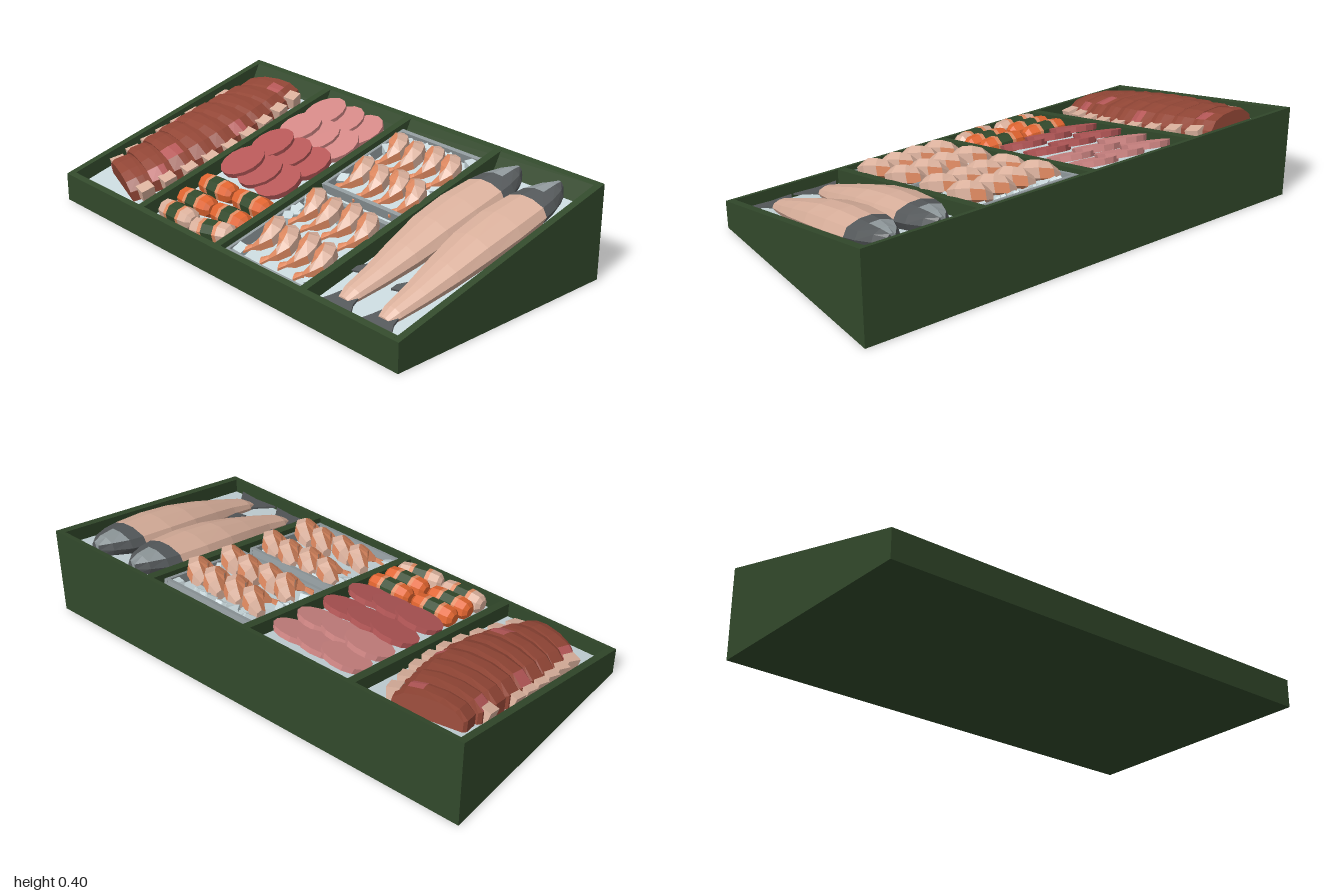
import * as THREE from 'three';

const mat = (name, color, double) => {
  const m = new THREE.MeshStandardMaterial({ color });
  m.name = name;
  if (double) m.side = THREE.DoubleSide;
  return m;
};
const V = (x, y, z) => new THREE.Vector3(x, y, z);

// Flat-shaded skin over a row of closed rings; pick(i, j) gives the material index of a quad
function loft(rings, pick = () => 0) {
  const sets = [], n = rings[0].length, last = rings.length - 1;
  let volume = 0;
  const tri = (k, a, b, c) => {
    (sets[k] ??= []).push([a, b, c]);
    volume += a.dot(b.clone().cross(c));
  };
  for (let i = 0; i < last; i++) for (let j = 0; j < n; j++) {
    const a = rings[i][j], b = rings[i][(j + 1) % n], c = rings[i + 1][(j + 1) % n], d = rings[i + 1][j];
    tri(pick(i, j), a, b, c);
    tri(pick(i, j), a, c, d);
  }
  for (let j = 1; j < n - 1; j++) {
    tri(pick(0, j), rings[0][0], rings[0][j + 1], rings[0][j]);
    tri(pick(last - 1, j), rings[last][0], rings[last][j], rings[last][j + 1]);
  }
  const pos = [], g = new THREE.BufferGeometry();
  sets.forEach((tris, k) => {
    g.addGroup(pos.length / 3, tris.length * 3, k);
    for (const [a, b, c] of tris) for (const p of volume > 0 ? [a, b, c] : [a, c, b]) pos.push(p.x, p.y, p.z);
  });
  g.setAttribute('position', new THREE.Float32BufferAttribute(pos, 3));
  g.computeVertexNormals();
  return g;
}

// Elliptical ring around c, spanned by the direction side and the up axis
const ring = (c, side, ru, rv, n) => Array.from({ length: n }, (_, j) => {
  const a = ((j + 0.5) / n) * Math.PI * 2;
  return c.clone().addScaledVector(side, Math.cos(a) * ru).add(V(0, Math.sin(a) * rv, 0));
});

export function createModel() {
  const green = mat('dark green', 0x32492b), ice = mat('ice', 0xc8d7db);
  const rib = mat('roast brown', 0x924636), flesh = mat('pale flesh', 0xdab09c);
  const hamPale = mat('pale pink', 0xd38886), hamRed = mat('deep pink', 0xb65858);
  const orange = mat('bright orange', 0xe0642f), prawn = mat('prawn orange', 0xe08a61);
  const grey = mat('grey', 0x90999c), dark = mat('charcoal', 0x55595b, true);

  const model = new THREE.Group();
  model.name = 'foodDisplay';
  let seed = 7;
  const rand = () => ((seed = (seed * 16807) % 2147483647) / 2147483647);

  // Wedge crate: side profile (z, y) pulled along x
  const slab = (name, pts, x0, x1) => {
    const shape = new THREE.Shape(pts.map(p => new THREE.Vector2(...p)));
    const g = new THREE.ExtrudeGeometry(shape, { depth: x1 - x0, bevelEnabled: false });
    const m = new THREE.Mesh(g.rotateY(-Math.PI / 2).translate(x1, 0, 0), green);
    m.name = name;
    model.add(m);
  };
  slab('crateBody', [[0.535, 0], [0.535, 0.12], [0.51, 0.127], [0.51, 0.055], [-0.47, 0.31],
    [-0.51, 0.388], [-0.535, 0.395], [-0.535, 0]], -0.97, 0.97);
  const wedge = [[0.535, 0], [0.535, 0.12], [-0.535, 0.395], [-0.535, 0]];
  for (const x of [-1, 0.97]) slab('sideWall', wedge, x, x + 0.03);
  const rail = [[0.515, 0.04], [0.515, 0.1251], [-0.515, 0.3899], [-0.515, 0.3]];
  for (const x of [-0.515, -0.02, 0.475]) slab('divider', rail, x, x + 0.035);

  // Everything in the crate sits on the sloping floor
  const food = new THREE.Group();
  food.name = 'contents';
  food.position.y = 0.19;
  food.rotation.x = 0.2546;
  model.add(food);
  const put = (name, geo, material, x, z, h, ry = 0, rx = 0, rz = 0) => {
    const m = new THREE.Mesh(geo, material);
    m.name = name;
    m.position.set(x, h, (z - h * 0.252) / 0.968);
    m.rotation.set(rx, ry, rz, 'YXZ');
    food.add(m);
    return m;
  };
  const box = (x, y, z) => new THREE.BoxGeometry(x, y, z);

  // Ice beds
  for (const [a, b] of [[-0.97, -0.515], [-0.48, -0.02], [0.015, 0.475], [0.51, 0.97]])
    put('iceBed', box(b - a, 0.009, 1.006), ice, (a + b) / 2, 0.02, 0.001);

  // Rack of ribs: fanned, arched slices with short bone ends
  const arch = [[-1, 0], [-0.97, 0.5], [-0.7, 0.84], [-0.25, 1], [0.3, 1], [0.7, 0.86], [0.97, 0.5], [1, 0]];
  const slices = 9;
  for (let i = 0; i < slices; i++) {
    const t = i / (slices - 1), bow = Math.sin(Math.PI * t);
    const w = 0.135 + 0.05 * Math.sin(Math.PI * (0.1 + t * 0.8));
    const x = -0.764 + 0.022 * bow, z = -0.385 + 0.74 * t, yaw = 0.18 - 0.42 * t;
    const h = 0.08 + 0.032 * Math.sin(Math.PI * (0.1 + 0.75 * t));
    const rings = [[-0.06, 0.93], [-0.025, 1], [0.02, 1.02], [0.052, 0.95]]
      .map(([dz, s], k) => arch.map(([u, v]) => V(u * w * s, v * h * s, dz + (k % 2 ? 0.012 : -0.008) * u)));
    const pinkSide = [4, 1, -1, 5, 1, -1, 4, 5, 1][i];
    put('ribSlice', loft(rings, (k, j) => (j === pinkSide && k > 0 ? 1 : 0)), [rib, hamRed], x, z, 0.004, yaw);
    for (const s of [-1, 1]) {
      if (s < 0 && (i === 0 || i === 2)) continue;
      const reach = w + (s < 0 ? -0.004 : 0.002);
      put('ribBone', box(0.052, 0.05, 0.06), flesh, x + s * reach * Math.cos(yaw), z - s * reach * Math.sin(yaw) + 0.01,
        0.036, yaw + s * 0.1, 0, -s * 0.2);
    }
  }

  // Ham: four rows of overlapping rounds, left ones on top
  const round = new THREE.CylinderGeometry(0.105, 0.1, 0.024, 14).toNonIndexed();
  round.computeVertexNormals();
  [-0.372, -0.232, -0.075, 0.085].forEach((z, r) => {
    for (let c = 0; c < 3; c++) {
      const m = put('hamSlice', round, r < 2 ? hamPale : hamRed, -0.37 + 0.12 * c, z + 0.008 * (c - 1),
        0.05 + 0.005 * r - 0.004 * c, 0.15 * c, 0.14, 0.12);
      m.scale.set(0.98, 1, 0.92);
    }
  });

  // Wrapped rolls with a green band
  const rollStops = [[-0.1, 0.5], [-0.085, 0.88], [-0.045, 1], [-0.028, 1], [0.028, 1], [0.045, 1], [0.085, 0.88], [0.1, 0.5]];
  const rollGeo = loft(rollStops.map(([x, s]) => ring(V(x, 0, 0), V(0, 0, 1), 0.048 * s, 0.045 * s, 8)),
    i => (i === 3 ? 1 : i === 2 || i === 4 ? 2 : 0));
  [0.235, 0.345, 0.44].forEach((z, r) => {
    for (const s of [-1, 1]) {
      const turned = r === 2 && s > 0;
      put('wrappedRoll', rollGeo, r === 2 ? [flesh, green, prawn] : [orange, green, prawn],
        -0.228 + s * 0.108, z, 0.044, turned ? 0.25 : 0);
    }
  });

  // Prawn: chunky, banded sweep along a hooked curve, ending in an orange tail
  const path = new THREE.CatmullRomCurve3([V(-0.06, 0.034, -0.065), V(-0.015, 0.058, -0.055), V(0.028, 0.068, -0.015),
    V(0.036, 0.056, 0.03), V(0.005, 0.036, 0.065), V(-0.035, 0.02, 0.095)]);
  const widths = [0.024, 0.042, 0.045, 0.044, 0.039, 0.03, 0.014, 0.024];
  const prawnGeo = loft(widths.map((w, i) => {
    const t = i / (widths.length - 1), d = path.getTangent(t);
    return ring(path.getPoint(t), V(-d.z, 0, d.x).normalize(), w, i > 5 ? 0.01 : w * 0.95, 6);
  }), (i, j) => (i > 4 || j === 0 || (i % 3 === 1 && j !== 1) ? 1 : 0));

  // Two trays of prawns on loose ice
  for (const [z0, z1, rows] of [[-0.465, -0.01, [-0.322, -0.13]], [0.035, 0.495, [0.125, 0.34]]]) {
    const mid = (z0 + z1) / 2;
    for (const z of [z0 + 0.01, z1 - 0.01]) put('trayRim', box(0.445, 0.045, 0.018), grey, 0.245, z, 0.025);
    for (const x of [0.028, 0.462]) put('trayRim', box(0.014, 0.045, (z1 - z0) / 0.968), grey, x, mid, 0.025);
    for (let i = 0; i < 20; i++) {
      const a = rand(), back = i % 2;
      const x = back ? 0.06 + 0.37 * a : (i % 4 ? 0.055 : 0.437);
      const z = back ? z0 + 0.045 + 0.02 * rand() : z0 + 0.04 + a * (z1 - z0 - 0.08);
      put('iceCube', box(0.046, 0.034, 0.04), ice, x, z, 0.026, rand() * 3, rand() * 0.4, rand() * 0.4);
    }
    for (const z of rows) for (let c = 0; c < 4; c++)
      put('prawn', prawnGeo, [flesh, prawn], 0.11 + 0.1 * c, z + 0.012 * (c % 2), 0.008, (rand() - 0.5) * 0.3);
  }

  // Fish: stations of x offset, z, half width, height
  const stations = [[0.008, -0.475, 0.02, 0.055], [0.006, -0.43, 0.058, 0.07], [0.002, -0.36, 0.088, 0.08],
    [0, -0.295, 0.1, 0.087], [-0.003, -0.15, 0.11, 0.097], [-0.003, 0, 0.104, 0.096], [0, 0.15, 0.085, 0.08],
    [0, 0.28, 0.062, 0.06], [-0.008, 0.39, 0.046, 0.042], [-0.012, 0.43, 0.03, 0.024]];
  const half = [[-0.8, 0], [-1, 0.4], [-0.8, 0.8], [-0.2, 1], [0.3, 0.98], [0.82, 0.78], [1, 0.4], [0.8, 0]];
  const bodyGeo = loft(stations.map(([x, z, w, h]) => half.map(([u, v]) => V(x + u * w, v * h, z / 0.968 - v * h * 0.2))),
    (i, j) => (i > 2 ? 0 : i < 2 && (j === 2 || j === 3) ? 1 : 2));
  const plate = pts => new THREE.ExtrudeGeometry(new THREE.Shape(pts.map(p => new THREE.Vector2(...p))),
    { depth: 0.008, bevelEnabled: false }).rotateX(Math.PI / 2);
  const tailGeo = plate([[-0.03, -0.06], [0.035, -0.06], [0.055, 0.01], [0.105, 0.08], [0.01, 0.068], [-0.09, 0.08], [-0.055, 0.01]]);
  const finGeo = plate([[0.03, -0.055], [0.04, 0.03], [-0.03, 0.05], [-0.03, 0.02]]);
  for (const x of [0.628, 0.832]) {
    put('fishBody', bodyGeo, [flesh, grey, dark], x, 0, 0.006);
    put('fishTail', tailGeo, dark, x - 0.012, 0.425, 0.024);
    put('fishFin', finGeo, dark, x - 0.075, 0.255, 0.03);
  }
  return model;
}
